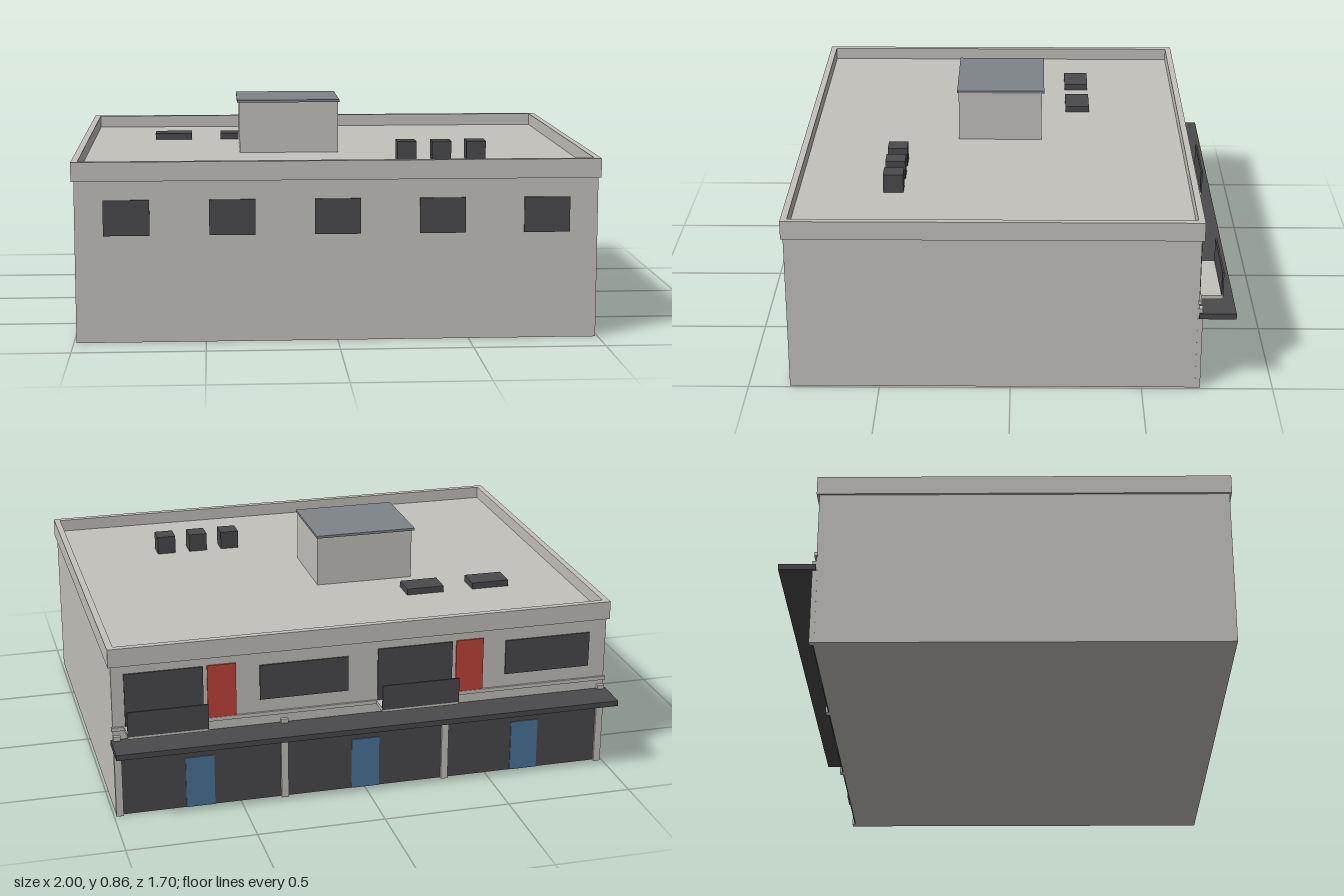
import * as THREE from 'three';

const mat = (name, color) => {
  const m = new THREE.MeshStandardMaterial({ color });
  m.name = name;
  return m;
};

export function createModel() {
  const wall = mat('warm grey render', 0xc3c1bb);
  const dark = mat('charcoal', 0x4a4a4d);
  const slate = mat('slate cap', 0x7e8489);
  const red = mat('red door', 0xc0443a);
  const blue = mat('blue door', 0x4b749c);
  const model = new THREE.Group();
  model.name = 'building';

  // Box given by its limits on each axis
  const box = (name, material, x0, x1, y0, y1, z0, z1) => {
    const mesh = new THREE.Mesh(new THREE.BoxGeometry(x1 - x0, y1 - y0, z1 - z0), material);
    mesh.position.set((x0 + x1) / 2, (y0 + y1) / 2, (z0 + z1) / 2);
    mesh.name = name;
    model.add(mesh);
    return mesh;
  };

  // Main body; its top is the sunken flat roof
  box('body', wall, -0.99, 0.99, 0, 0.64, -0.71, 0.842);

  // Parapet ring around the roof
  const ring = new THREE.Shape();
  ring.moveTo(-1, -0.85).lineTo(1, -0.85).lineTo(1, 0.72).lineTo(-1, 0.72).closePath();
  const hole = new THREE.Path();
  hole.moveTo(-0.975, -0.825).lineTo(-0.975, 0.695).lineTo(0.975, 0.695).lineTo(0.975, -0.825).closePath();
  ring.holes.push(hole);
  const parapetGeo = new THREE.ExtrudeGeometry(ring, { depth: 0.073, bevelEnabled: false });
  parapetGeo.rotateX(-Math.PI / 2);
  const parapet = new THREE.Mesh(parapetGeo, wall);
  parapet.position.y = 0.617;
  parapet.name = 'parapet';
  model.add(parapet);

  // Stair house on the roof
  box('stairHouse', wall, -0.36, 0.04, 0.64, 0.845, -0.12, 0.222);
  box('stairHouseCap', slate, -0.37, 0.045, 0.845, 0.855, -0.13, 0.228);

  // Roof units and skylights
  for (const x of [0.295, 0.433, 0.57]) box('roofUnit', dark, x - 0.038, x + 0.038, 0.64, 0.715, 0.418, 0.496);
  for (const x of [-0.637, -0.36]) box('skylight', dark, x - 0.077, x + 0.077, 0.64, 0.666, -0.325, -0.225);

  // Front windows
  for (let i = -2; i <= 2; i++) {
    const x = i * 0.398;
    box('frontWindow', dark, x - 0.087, x + 0.087, 0.41, 0.545, 0.842, 0.848);
  }

  // Shop front on the back: glazing, pillars and doors
  box('shopGlazing', dark, -0.97, 0.97, 0.003, 0.297, -0.714, -0.71);
  for (const x of [-0.977, -0.326, 0.326, 0.977]) box('pillar', wall, x - 0.014, x + 0.014, 0, 0.335, -0.724, -0.705);
  for (const x of [-0.66, 0, 0.66]) box('shopDoor', blue, x - 0.056, x + 0.056, 0.003, 0.212, -0.718, -0.714);

  // Canopy and floor ledge
  box('canopy', dark, -1, 1, 0.296, 0.318, -0.85, -0.71);
  box('floorLedge', wall, -0.996, 0.996, 0.355, 0.37, -0.718, -0.705);

  // Two flats above: balcony with glazed door, red door and window
  for (const dx of [0, 0.99]) {
    box('balconySlab', wall, -0.352 + dx, -0.043 + dx, 0.355, 0.37, -0.8, -0.71);
    box('balconyRail', dark, -0.352 + dx, -0.043 + dx, 0.365, 0.465, -0.802, -0.795);
    box('balconyGlazing', dark, -0.35 + dx, -0.048 + dx, 0.37, 0.583, -0.716, -0.71);
    box('flatDoor', red, -0.477 + dx, -0.366 + dx, 0.37, 0.585, -0.716, -0.71);
    box('backWindow', dark, -0.92 + dx, -0.57 + dx, 0.423, 0.565, -0.716, -0.71);
  }

  return model;
}
